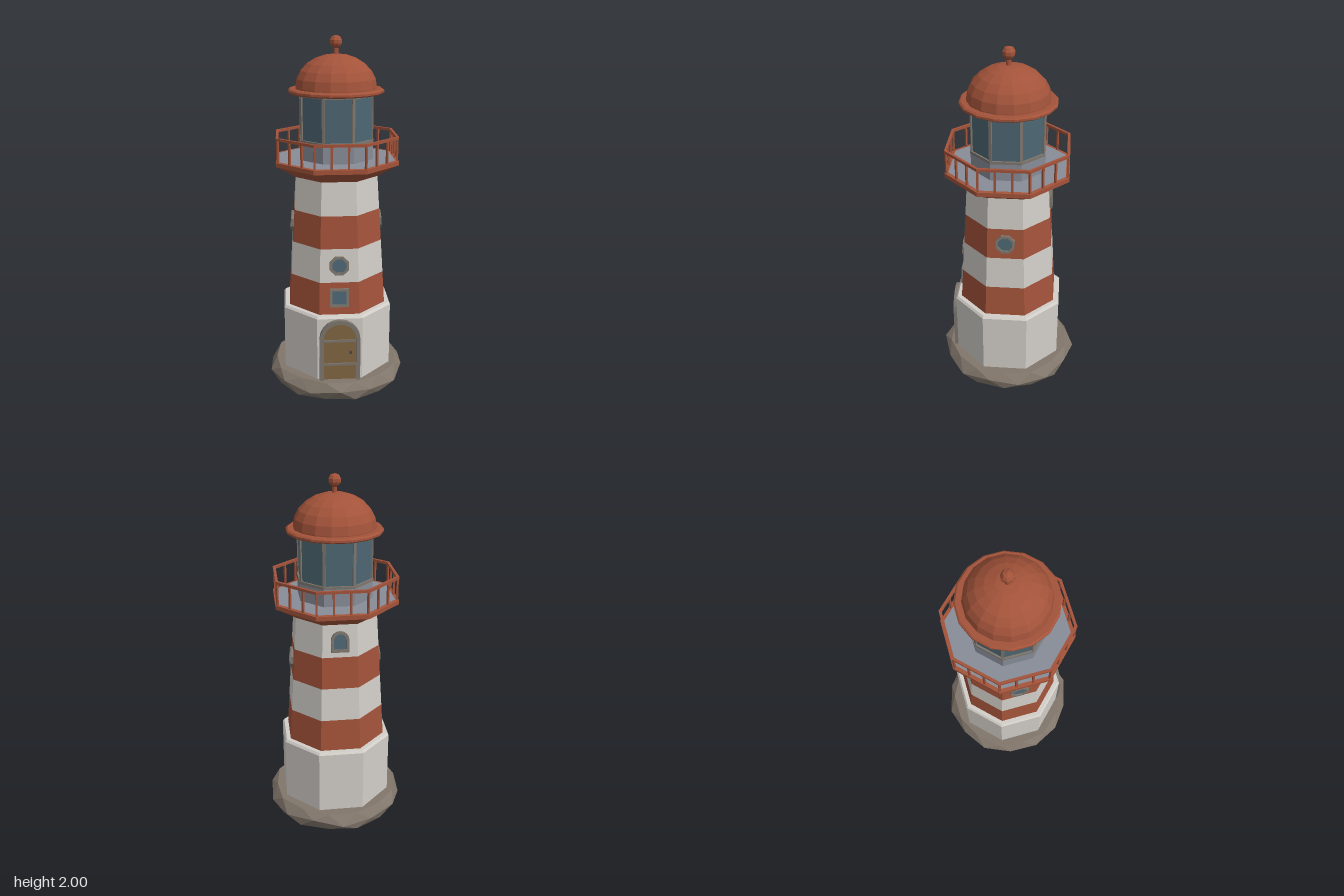
import * as THREE from 'three';

const mat = (name, color) => {
  const m = new THREE.MeshStandardMaterial({ color });
  m.name = name;
  return m;
};

export function createModel() {
  const white = mat('whitewash', 0xd2cec8);
  const red = mat('brick red', 0xa3533a);
  const stone = mat('rock', 0x81766b);
  const trim = mat('trim stone', 0x7d766e);
  const slate = mat('slate deck', 0x888c97);
  const glass = mat('glass', 0x4d6672);
  const wood = mat('door wood', 0x806541);
  const iron = mat('iron', 0x4a4540);

  const model = new THREE.Group();
  model.name = 'lighthouse';

  const add = (name, geo, material, parent = model) => {
    const mesh = new THREE.Mesh(geo, material);
    mesh.name = name;
    parent.add(mesh);
    return mesh;
  };
  const flat = (geo) => {
    const g = geo.index ? geo.toNonIndexed() : geo;
    g.computeVertexNormals();
    return g;
  };
  // Faceted solid of revolution, a flat side facing front; radii measured to the flats
  const turned = (name, profile, material, sides = 8) => {
    const k = 1 / Math.cos(Math.PI / sides);
    const pts = profile.map(([r, y]) => new THREE.Vector2(r * k, y));
    return add(name, flat(new THREE.LatheGeometry(pts, sides, Math.PI / sides)), material);
  };
  const pivot = (name, angle, parent = model) => {
    const g = new THREE.Group();
    g.name = name;
    g.rotation.y = angle;
    parent.add(g);
    return g;
  };

  // Rough rock foundation: three staggered rings
  const N = 14;
  const ring = (r, y, shift, seed, dy) => Array.from({ length: N }, (_, i) => {
    const a = ((i + shift) / N) * Math.PI * 2;
    const rr = r + 0.008 * Math.sin(i * 2.7 + seed);
    return [rr * Math.sin(a), y + dy * Math.sin(i * 4.1 + seed), rr * Math.cos(a)];
  });
  const low = ring(0.378, 0, 0.5, 1, 0);
  const mid = ring(0.402, 0.052, 0, 2, 0.014);
  const top = ring(0.366, 0.1, 0.5, 3, 0);
  const tris = [];
  for (let i = 0; i < N; i++) {
    const j = (i + 1) % N;
    tris.push(low[i], mid[j], mid[i], low[i], low[j], mid[j]);
    tris.push(mid[i], mid[j], top[i], mid[j], top[j], top[i]);
    tris.push([0, 0.1, 0], top[i], top[j], [0, 0, 0], low[j], low[i]);
  }
  const rock = new THREE.BufferGeometry();
  rock.setAttribute('position', new THREE.Float32BufferAttribute(tris.flat(), 3));
  add('rockFoundation', flat(rock), stone);

  // Octagonal base room
  turned('baseWall', [[0.308, 0.09], [0.308, 0.472], [0.298, 0.485], [0.25, 0.485]], white);

  // Tapering striped tower
  const wallR = (y) => 0.275 - (y - 0.48) * 0.0645;
  const bands = [0.48, 0.672, 0.865, 1.05, 1.25];
  for (let i = 0; i < 4; i++) {
    const [a, b] = [bands[i], bands[i + 1]];
    turned('towerBand' + (i + 1), [[wallR(a), a], [wallR(b), b]], i % 2 ? white : red);
  }

  // Gallery: flared bracket, rim and deck
  turned('galleryBracket', [[0.2, 1.24], [0.232, 1.24], [0.328, 1.303], [0.338, 1.306], [0.338, 1.33], [0.318, 1.332]], red);
  turned('galleryDeck', [[0.32, 1.331], [0, 1.331]], slate);

  // Railing: three bays on each of eight sides
  turned('handrail', [[0.32, 1.45], [0.335, 1.45], [0.335, 1.465], [0.32, 1.465], [0.32, 1.45]], red);
  const railR = 0.327, halfSide = railR * Math.tan(Math.PI / 8);
  for (let s = 0; s < 8; s++) {
    const side = pivot('railingSide', (s * Math.PI) / 4);
    for (let p = 0; p < 3; p++) {
      add('railPost', new THREE.BoxGeometry(0.011, 0.125, 0.011), red, side)
        .position.set(-halfSide + (p * 2 * halfSide) / 3, 1.39, railR);
    }
  }

  // Lantern room
  turned('lanternWall', [[0.2, 1.33], [0.2, 1.43], [0.18, 1.43]], slate);
  turned('lanternSill', [[0.19, 1.428], [0.203, 1.428], [0.203, 1.443], [0.19, 1.443]], trim);
  turned('lanternGlass', [[0.193, 1.435], [0.193, 1.695]], glass);
  turned('lanternHead', [[0.19, 1.678], [0.201, 1.678], [0.201, 1.695], [0.19, 1.695]], trim);
  for (let s = 0; s < 8; s++) {
    const corner = pivot('lanternCorner', ((s + 0.5) * Math.PI) / 4);
    add('lanternMullion', new THREE.BoxGeometry(0.016, 0.25, 0.016), trim, corner)
      .position.set(0, 1.56, 0.206);
  }

  // Dome with brim
  const dome = [[0, 1.69], [0.252, 1.69], [0.261, 1.697], [0.261, 1.708], [0.252, 1.716], [0.222, 1.716]];
  for (let i = 0; i <= 6; i++) {
    const a = (i / 6) * Math.PI / 2;
    dome.push([0.222 * Math.cos(a), 1.722 + 0.18 * Math.sin(a)]);
  }
  turned('domeRoof', dome, red, 16);
  turned('finial', [[0.013, 1.89], [0.013, 1.93], [0.026, 1.944], [0.032, 1.956], [0.032, 1.974], [0.022, 1.992], [0, 2]], red);

  // Outlines for openings, centred on the origin
  const octagon = (r) => Array.from({ length: 8 }, (_, i) => {
    const a = ((i + 0.5) * Math.PI) / 4;
    return new THREE.Vector2(Math.cos(a), Math.sin(a)).multiplyScalar(r / Math.cos(Math.PI / 8));
  });
  const square = (r) => [[-r, -r], [r, -r], [r, r], [-r, r]].map((p) => new THREE.Vector2(...p));
  const arch = (r, bottom, spring, steps = 10) => {
    const pts = [new THREE.Vector2(-r, bottom), new THREE.Vector2(r, bottom)];
    for (let i = 0; i <= steps; i++) {
      const a = (i / steps) * Math.PI;
      pts.push(new THREE.Vector2(r * Math.cos(a), spring + r * Math.sin(a)));
    }
    return pts;
  };
  const frame = (outer, inner, depth) => {
    const s = new THREE.Shape(outer);
    s.holes.push(new THREE.Path(inner));
    return new THREE.ExtrudeGeometry(s, { depth, bevelEnabled: false });
  };

  // Windows lying against the sloping wall
  const addWindow = (name, angle, y, outer, inner) => {
    const w = new THREE.Group();
    pivot(name, angle).add(w);
    w.position.set(0, y, wallR(y));
    w.rotation.x = -Math.atan(0.0645);
    add('windowFrame', frame(outer, inner, 0.028), trim, w).position.z = -0.012;
    add('windowGlass', new THREE.ShapeGeometry(new THREE.Shape(inner)), glass, w).position.z = 0.006;
  };
  addWindow('squareWindow', 0, 0.585, square(0.053), square(0.04));
  addWindow('frontRoundWindow', 0, 0.77, octagon(0.053), octagon(0.039));
  for (const s of [-1, 1]) {
    addWindow('sideRoundWindow', (s * Math.PI) / 2, 0.96, octagon(0.053), octagon(0.039));
  }
  addWindow('backArchedWindow', Math.PI, 1.14, arch(0.05, -0.057, 0.012, 8), arch(0.035, -0.042, 0.012, 8));

  // Arched front door
  const door = pivot('door', 0);
  add('doorFrame', frame(arch(0.115, 0.095, 0.355), arch(0.092, 0.095, 0.355), 0.04), trim, door).position.z = 0.291;
  add('doorLeaf', new THREE.ShapeGeometry(new THREE.Shape(arch(0.092, 0.095, 0.355))), wood, door).position.z = 0.315;
  for (const y of [0.195, 0.34]) {
    add('doorStrap', new THREE.BoxGeometry(0.182, 0.014, 0.008), trim, door).position.set(0, y, 0.317);
  }
  add('doorHandle', new THREE.BoxGeometry(0.014, 0.016, 0.014), iron, door).position.set(0.062, 0.27, 0.32);

  return model;
}
